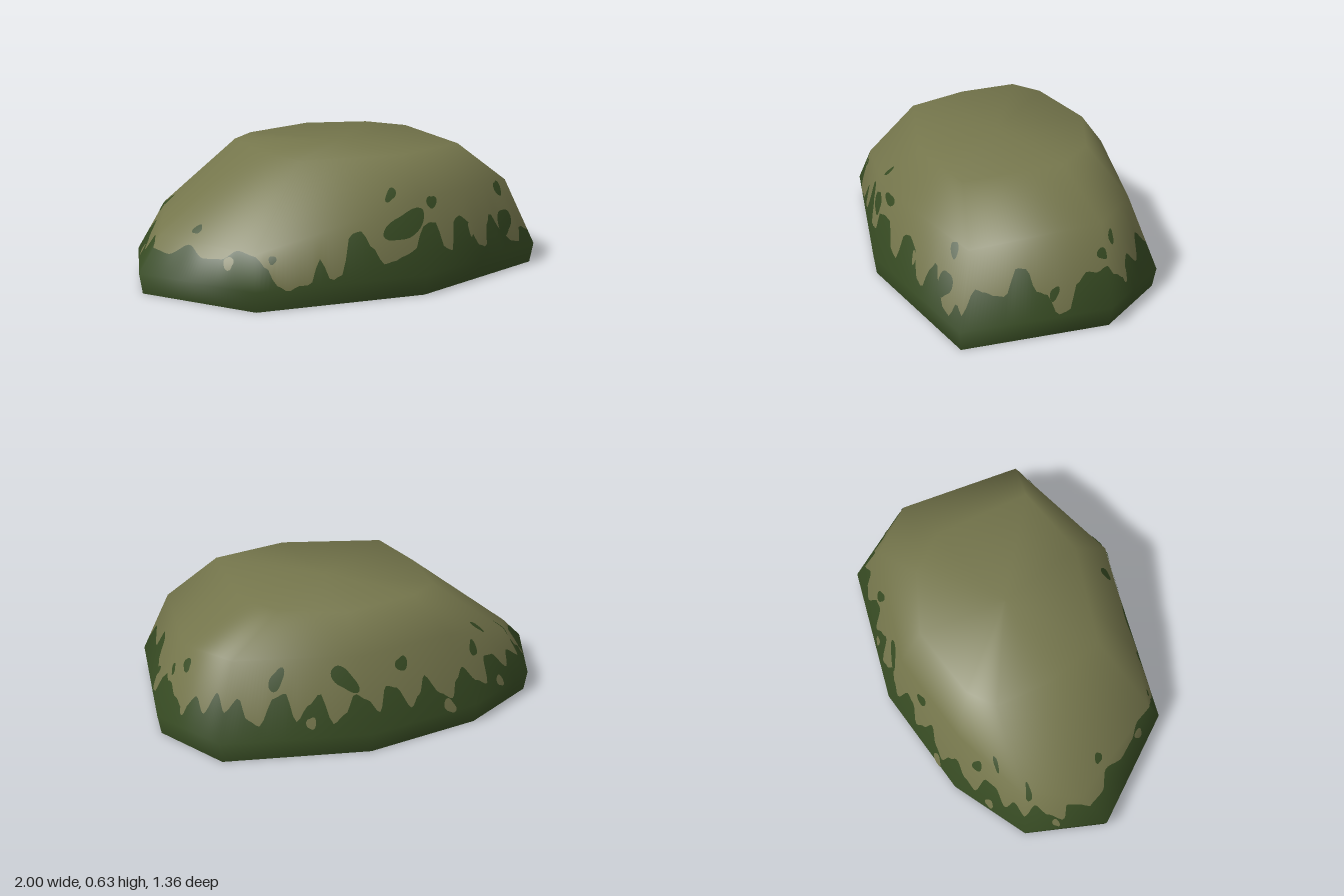
import * as THREE from 'three';

// Cross-sections of the boulder, nine corners each, running from -x past the front
const FOOT = [[-1, .04], [-.62, .53], [.2, .675], [.95, .49], [1, -.22], [.77, -.56], [.07, -.68], [-.5, -.57], [-.87, -.35]];
const SHOULDER = [[-.86, .25, -.04], [-.59, .26, .47], [.2, .46, .61], [.82, .43, .4], [.85, .46, -.22],
  [.67, .46, -.44], [.09, .46, -.565], [-.38, .45, -.47], [-.74, .34, -.3]];
const CROWN = [[-.37, .02], [-.29, .31], [.2, .43], [.57, .34], [.56, -.15], [.42, -.33], [.12, -.44], [-.24, -.36], [-.37, -.26]];
const N = FOOT.length;
const RINGS = [
  FOOT.map(([x, z]) => [x * .985, 0, z * .98]),
  FOOT.map(([x, z]) => [x, .1, z]),
  SHOULDER,
  CROWN.map(([x, z]) => [x, .63, z]),
  FOOT.map(() => [.1, .63, 0]),
];

// Height of the moss edge, evenly spaced along each of the nine sides
const MOSS_EDGE = [
  [.2, .19, .24, .2, .21, .26],
  [.25, .2, .12, .09, .11, .11, .22, .12, .14, .32, .33, .25, .17, .18, .2, .22],
  [.33, .34, .33, .2, .18, .32, .33, .3, .17, .15, .25, .3, .19, .14, .13, .2],
  [.17, .27, .25, .23, .22, .33, .32, .22, .2, .11, .12, .23, .27, .26],
  [.28, .22, .18, .26, .2, .31],
  [.24, .3, .2, .17, .29, .31, .18, .25, .3, .16, .2, .29],
  [.26, .19, .3, .28, .17, .22, .3, .2, .16, .24],
  [.29, .2, .16, .28, .27, .18, .25],
  [.2, .26, .19, .15, .23, .22],
];
const KEYS = MOSS_EDGE.flatMap((row, s) => row.map((y, i) => [s + i / row.length, y]));
KEYS.push([N, MOSS_EDGE[0][0]]);

function edgeHeight(u) {
  let i = 0;
  while (i < KEYS.length - 2 && u >= KEYS[i + 1][0]) i++;
  const [a, b] = [KEYS[i], KEYS[i + 1]];
  return THREE.MathUtils.lerp(a[1], b[1], THREE.MathUtils.smoothstep(u, a[0], b[0]));
}

// Smooth normals shared by every piece of the surface
function ringNormals() {
  const index = [];
  for (let k = 0; k < 4; k++) for (let i = 0; i < N; i++) {
    const a = k * N + i, b = k * N + (i + 1) % N;
    index.push(a, b, b + N, a, b + N, a + N);
  }
  const geo = new THREE.BufferGeometry();
  geo.setAttribute('position', new THREE.Float32BufferAttribute(RINGS.flat(2), 3));
  geo.setIndex(index);
  geo.computeVertexNormals();
  const n = geo.attributes.normal;
  return RINGS.map((ring, k) => ring.map((_, i) =>
    k === 4 ? [0, 1, 0] : [n.getX(k * N + i), n.getY(k * N + i), n.getZ(k * N + i)]));
}
const NORMALS = ringNormals();

// Blend a ring table at side u and level v
function sample(table, u, v) {
  const i = Math.floor(u), f = u - i, k = Math.min(3, Math.floor(v)), g = v - k;
  const a = ((i % N) + N) % N, b = (a + 1) % N;
  return new THREE.Vector3(...[0, 1, 2].map(c =>
    (table[k][a][c] * (1 - f) + table[k][b][c] * f) * (1 - g) +
    (table[k + 1][a][c] * (1 - f) + table[k + 1][b][c] * f) * g));
}

// Level at which the wall reaches height y on side u
function levelAt(u, y) {
  for (let k = 0; k < 3; k++) {
    const lo = sample(RINGS, u, k).y, hi = sample(RINGS, u, k + 1).y;
    if (y <= hi) return k + Math.max(0, (y - lo) / (hi - lo));
  }
  return 3;
}

function buildGeometry(points, normals, index) {
  const geo = new THREE.BufferGeometry();
  geo.setAttribute('position', new THREE.Float32BufferAttribute(points.flatMap(p => p.toArray()), 3));
  geo.setAttribute('normal', new THREE.Float32BufferAttribute(normals.flatMap(n => n.toArray()), 3));
  geo.setIndex(index);
  return geo;
}

// Skin around the boulder; levels(h) lists the rows of a column whose moss ends at h
function skin(levels) {
  const columns = N * 40, points = [], normals = [], index = [];
  let rows = 0;
  for (let c = 0; c <= columns; c++) {
    const u = c / 40, list = levels(levelAt(u, edgeHeight(u)));
    rows = list.length;
    for (const v of list) {
      points.push(sample(RINGS, u, v));
      normals.push(sample(NORMALS, u, v).normalize());
    }
  }
  for (let c = 0; c < columns; c++) for (let r = 0; r < rows - 1; r++) {
    const a = c * rows + r, b = a + rows;
    index.push(a, b, b + 1, a, b + 1, a + 1);
  }
  return buildGeometry(points, normals, index);
}

// Irregular thin patch lying on the wall; lift is its distance from the surface
function patch(u, y, du, dy, lean, lift) {
  const points = [], normals = [], index = [], steps = 28;
  const add = (uu, yy) => {
    const v = levelAt(uu, yy), n = sample(NORMALS, uu, v).normalize();
    points.push(sample(RINGS, uu, v).addScaledVector(n, lift));
    normals.push(n);
  };
  add(u, y);
  for (const ring of [.5, 1]) for (let i = 0; i < steps; i++) {
    const t = i / steps * Math.PI * 2;
    const r = ring * (1 + .13 * Math.sin(2 * t + u * 7) + .1 * Math.sin(3 * t + y * 30));
    add(u + du * r * (Math.cos(t) + lean * Math.sin(t)), y + dy * r * Math.sin(t));
  }
  for (let i = 0; i < steps; i++) {
    const a = 1 + i, b = 1 + (i + 1) % steps;
    index.push(0, a, b, a, a + steps, b + steps, a, b + steps, b);
  }
  return buildGeometry(points, normals, index);
}

export function createModel() {
  const rock = new THREE.MeshStandardMaterial({ color: 0x75764c, side: THREE.DoubleSide });
  rock.name = 'olive rock';
  const moss = new THREE.MeshStandardMaterial({ color: 0x374b23, side: THREE.DoubleSide });
  moss.name = 'dark moss';
  const group = new THREE.Group();
  group.name = 'boulder';
  const add = (name, geo, mat) => {
    const mesh = new THREE.Mesh(geo, mat);
    mesh.name = name;
    group.add(mesh);
  };

  // Main shell, split along the wavy moss edge and open underneath
  add('mossBand', skin(h => [0, 1, 2, 3].map(k => Math.min(k, h)).concat(h)), moss);
  add('rockBody', skin(h => [h].concat([1, 2, 3, 4].map(k => Math.max(k, h)))), rock);

  // Loose moss spots: side, height, half width, half height, lean
  const spots = [
    [1.82, .475, .03, .028, .5], [1.89, .34, .1, .075, .5], [2.1, .43, .05, .032, 0], [2.8, .24, .065, .065, .3],
    [2.86, .4, .035, .04, 0], [1.1, .23, .02, .02, 0], [3.62, .2, .03, .03, .3], [3.98, .335, .04, .026, 0], [4.2, .38, .07, .03, 0],
    [5.35, .37, .05, .05, .3], [5.85, .36, .08, .06, -.5], [6.4, .38, .06, .035, 0], [7.3, .34, .06, .04, .2],
    [7.6, .41, .04, .03, 0], [8.1, .33, .05, .04, 0], [.3, .3, .04, .02, 0],
  ];
  // Bare rock showing through the moss
  const holes = [[.75, .2, .05, .025, 0], [2.45, .25, .02, .03, 0], [4.35, .19, .05, .03, 0],
    [5.6, .17, .03, .03, 0], [6.75, .13, .05, .035, 0], [7.5, .14, .05, .03, .2], [8.4, .14, .04, .025, 0]];
  // Each patch is laid on both the outer and the inner face
  for (const lift of [.004, -.004]) {
    for (const s of spots) add('mossSpot', patch(...s, lift), moss);
    for (const s of holes) add('bareSpot', patch(...s, lift), rock);
  }
  return group;
}
